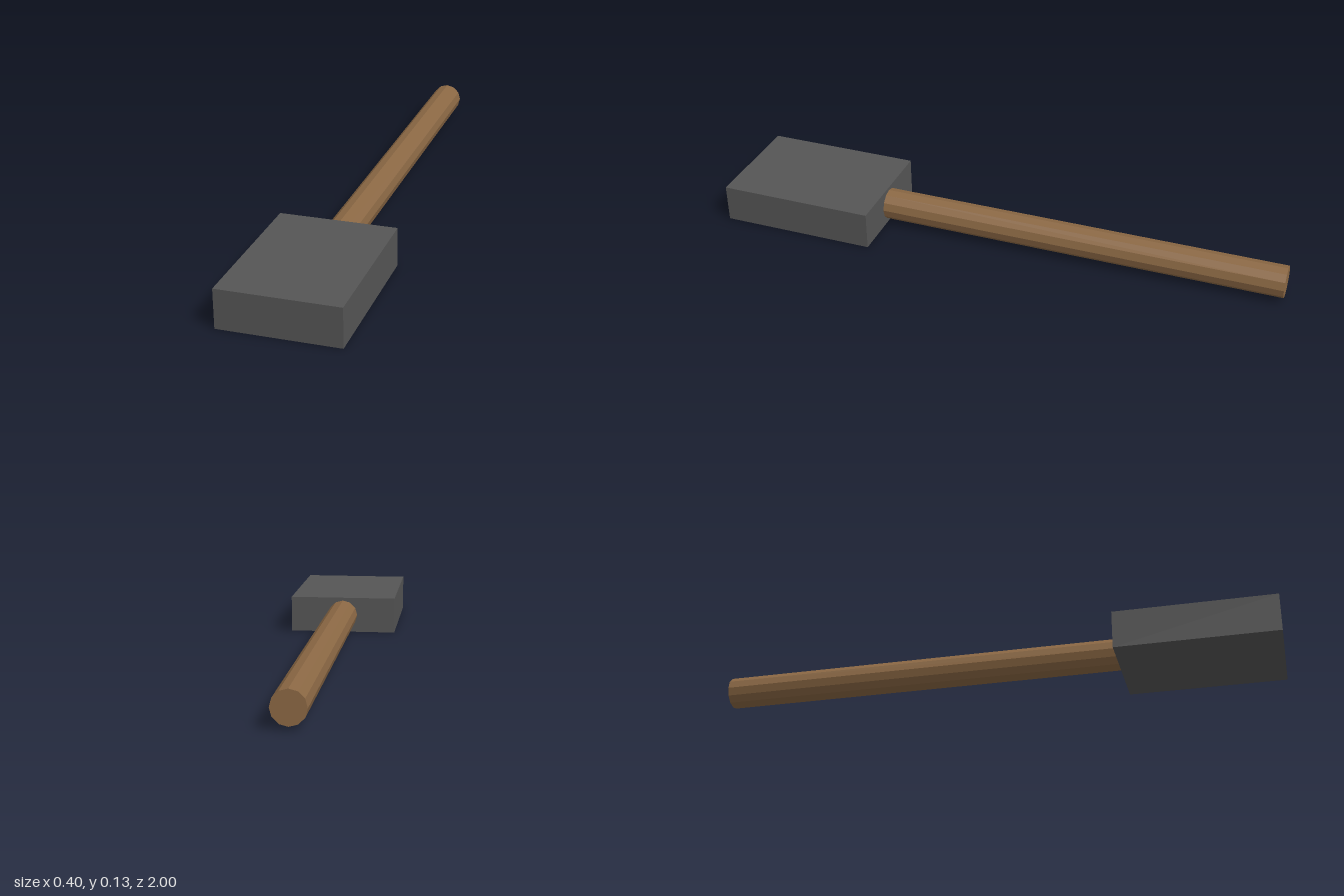
import * as THREE from 'three';

export function createModel() {
  const model = new THREE.Group();
  model.name = 'mallet';
  const headHeight = 0.133;
  const headBack = 0.445;

  function addPart(name, geometry, color, z) {
    const material = new THREE.MeshStandardMaterial({ color, flatShading: true });
    const mesh = new THREE.Mesh(geometry, material);
    mesh.name = name;
    mesh.position.set(0, headHeight / 2, z);
    model.add(mesh);
  }

  // Heavy block at the front
  const headLength = 1 - headBack;
  addPart('head', new THREE.BoxGeometry(0.4, headHeight, headLength), 0x555555, headBack + headLength / 2);

  // Twelve-sided wooden handle, lying along z and meeting the back of the head
  const handleLength = headBack + 1;
  const handle = new THREE.CylinderGeometry(0.0556, 0.0556, handleLength, 12).rotateX(Math.PI / 2);
  addPart('handle', handle, 0x8b6844, headBack - handleLength / 2);

  return model;
}
